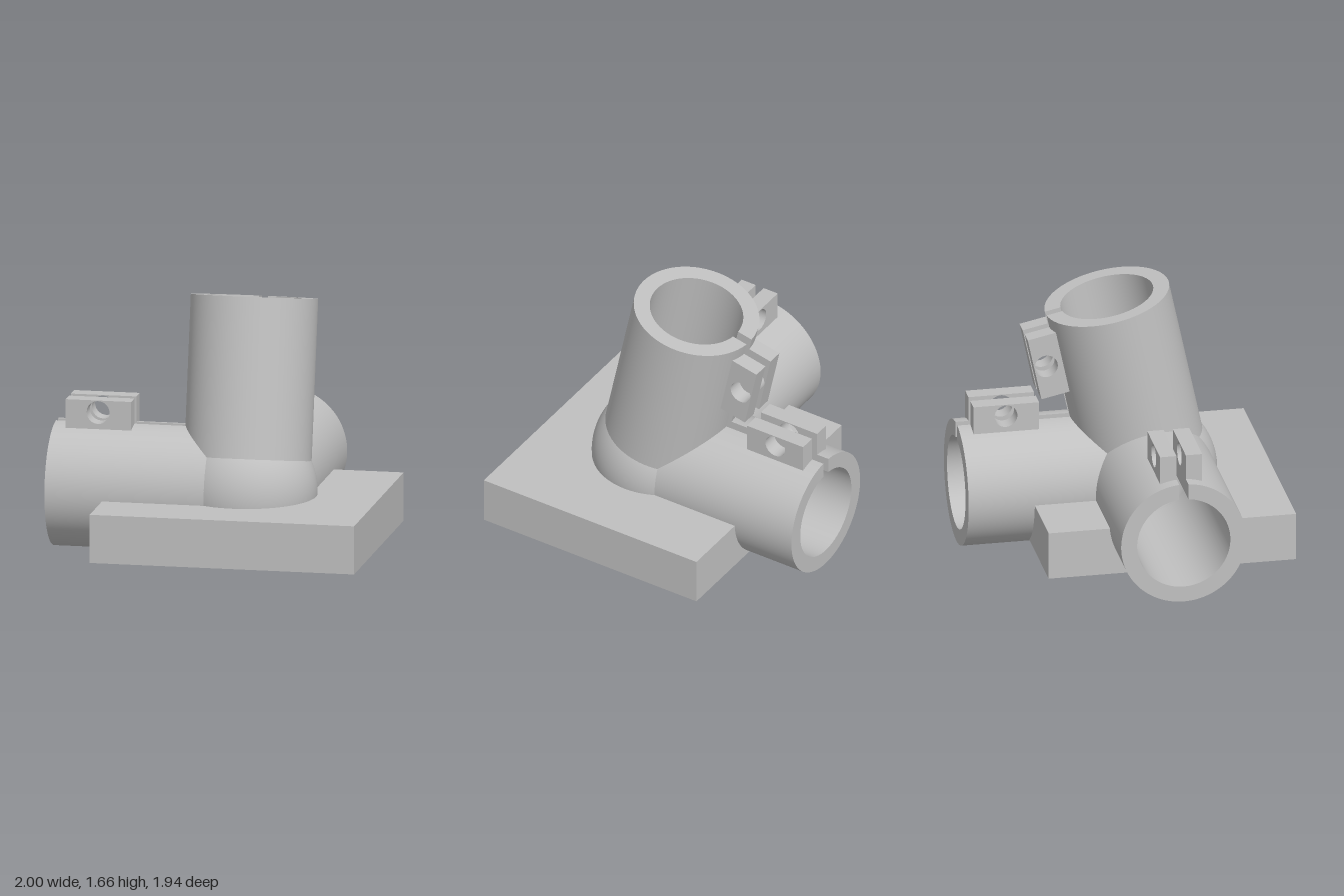
import * as THREE from 'three';

const CENTER = new THREE.Vector3(0.177, 0.435, 0.2);
const R_OUT = 0.388, R_IN = 0.289, LENGTH = 1.177, R_BALL = 0.432;
const SLOT = 0.0285; // half width of the clamping slot
const TILT = 0.209;

const grey = new THREE.MeshStandardMaterial({ color: 0xc0c0c0, side: THREE.DoubleSide });
grey.name = 'grey';

// Arm directions, and the side of each arm that carries slot and clamp
const up = new THREE.Vector3(0, 1, 0);
const arms = [
  { name: 'sideArm', axis: new THREE.Vector3(-1, 0, 0), clamp: up, endWall: true },
  { name: 'backArm', axis: new THREE.Vector3(0, 0, -1), clamp: up },
  {
    name: 'uprightArm',
    axis: new THREE.Vector3(0, Math.cos(TILT), -Math.sin(TILT)),
    clamp: new THREE.Vector3(0, -Math.sin(TILT), -Math.cos(TILT)),
  },
];

function addMesh(parent, name, geometry) {
  const mesh = new THREE.Mesh(geometry, grey);
  mesh.name = name;
  parent.add(mesh);
  return mesh;
}

// Surface between two polylines with the same number of points
function strip(a, b) {
  const g = new THREE.BufferGeometry().setFromPoints([...a, ...b]);
  const n = a.length, index = [];
  for (let i = 0; i < n - 1; i++) index.push(i, i + 1, n + i, i + 1, n + i + 1, n + i);
  g.setIndex(index);
  g.computeVertexNormals();
  return g;
}

// Sphere without the portions lying further than `limit` along any arm
function clippedSphere(radius, limit) {
  const g = new THREE.SphereGeometry(radius, 80, 56);
  const pos = g.attributes.position, old = g.index.array, index = [];
  const v = new THREE.Vector3(), mid = new THREE.Vector3();
  for (let i = 0; i < old.length; i += 3) {
    mid.set(0, 0, 0);
    for (let k = 0; k < 3; k++) mid.add(v.fromBufferAttribute(pos, old[i + k]));
    mid.divideScalar(3);
    if (arms.every((arm) => mid.dot(arm.axis) < limit)) index.push(old[i], old[i + 1], old[i + 2]);
  }
  g.setIndex(index);
  return g;
}

// Two edges of a slotted cylinder: the mitred start and the flat end
function cylinderEdges(arm, side, radius) {
  const start = [], end = [], N = 120;
  const gap = Math.asin(SLOT / radius);
  for (let i = 0; i <= N; i++) {
    const angle = gap + (i / N) * (2 * Math.PI - 2 * gap);
    const c = Math.cos(angle), s = Math.sin(angle);
    const u = arm.clamp.clone().multiplyScalar(c).addScaledVector(side, s);
    let t = 0;
    for (const other of arms) {
      if (other !== arm) t = Math.max(t, radius * u.dot(other.axis) / (1 - arm.axis.dot(other.axis)));
    }
    start.push(new THREE.Vector3(t, radius * c, radius * s));
    end.push(new THREE.Vector3(LENGTH, radius * c, radius * s));
  }
  return { start, end };
}

// Slotted tube with a pair of bolted clamp lugs; local x runs along the arm
function makeArm(arm) {
  const group = new THREE.Group();
  group.name = arm.name;
  const side = arm.axis.clone().cross(arm.clamp);
  group.quaternion.setFromRotationMatrix(new THREE.Matrix4().makeBasis(arm.axis, arm.clamp, side));

  const outer = cylinderEdges(arm, side, R_OUT);
  const inner = cylinderEdges(arm, side, R_IN);
  addMesh(group, 'tubeOutside', strip(outer.start, outer.end));
  addMesh(group, 'tubeBore', strip(inner.end, inner.start));
  addMesh(group, 'tubeRim', strip(inner.end, outer.end));

  const last = outer.start.length - 1;
  for (const i of [0, last]) {
    addMesh(group, 'slotWall', strip([inner.start[i], inner.end[i]], [outer.start[i], outer.end[i]]));
  }
  if (arm.endWall) {
    addMesh(group, 'slotEnd', strip([inner.start[0], inner.start[last]], [outer.start[0], outer.start[last]]));
  }

  const lug = new THREE.Shape([[0.69, 0.365], [1.096, 0.365], [1.096, 0.544], [0.69, 0.544]]
    .map(([x, y]) => new THREE.Vector2(x, y)));
  lug.holes.push(new THREE.Path().absarc(0.895, 0.469, 0.071, 0, Math.PI * 2, true));
  const thickness = 0.13 - SLOT;
  const lugGeometry = new THREE.ExtrudeGeometry(lug, { depth: thickness, bevelEnabled: false, curveSegments: 32 });
  for (const z of [SLOT, -SLOT - thickness]) addMesh(group, 'clampLug', lugGeometry).position.z = z;
  return group;
}

// Base plate, cut open where the bores pass through it
function makePlate() {
  const group = new THREE.Group();
  group.name = 'basePlate';
  const hx = 0.82, hz = 0.767, top = -0.025, bottom = -0.325, n = 0.31;
  const flat = (name, shape, y) => {
    const mesh = addMesh(group, name, new THREE.ShapeGeometry(shape, 24));
    mesh.rotation.x = Math.PI / 2; // shape y becomes z
    mesh.position.y = y;
  };
  const rect = (x0, y0, x1, y1) => new THREE.Shape()
    .moveTo(x0, y0).lineTo(x1, y0).lineTo(x1, y1).lineTo(x0, y1);

  const topShape = new THREE.Shape();
  topShape.moveTo(-hx, n).lineTo(-hx, hz).lineTo(hx, hz).lineTo(hx, -hz).lineTo(n, -hz).lineTo(n, 0);
  topShape.absarc(0, 0, n, 0, Math.PI / 2, false);
  flat('plateTop', topShape, top);
  flat('plateTopCorner', rect(-hx, -hz, -n, -n), top);
  flat('plateBottom', rect(-hx, -hz, hx, hz), bottom);

  // Upright sides; the two crossed by arms have a round notch
  const wall = (name, half, notched, x, z, turn) => {
    const shape = new THREE.Shape();
    shape.moveTo(-half, top).lineTo(-half, bottom).lineTo(half, bottom).lineTo(half, top);
    if (notched) {
      const a = Math.asin(-top / n);
      shape.absarc(0, 0, n, -a, -Math.PI + a, true);
    }
    const mesh = addMesh(group, name, new THREE.ShapeGeometry(shape, 32));
    mesh.position.set(x, 0, z);
    mesh.rotation.y = turn;
  };
  wall('plateFront', hx, false, 0, hz, 0);
  wall('plateBack', hx, true, 0, -hz, Math.PI);
  wall('plateLeft', hz, false, hx, 0, Math.PI / 2);
  wall('plateRight', hz, true, -hx, 0, -Math.PI / 2);
  return group;
}

export function createModel() {
  const model = new THREE.Group();
  model.name = 'pipeCornerBracket';
  const body = new THREE.Group();
  body.name = 'body';
  body.position.copy(CENTER);
  model.add(body);

  for (const arm of arms) body.add(makeArm(arm));
  addMesh(body, 'cornerBall', clippedSphere(R_BALL, 0.25));
  addMesh(body, 'cornerHollow', clippedSphere(R_IN, 0.02));
  body.add(makePlate());
  return model;
}
